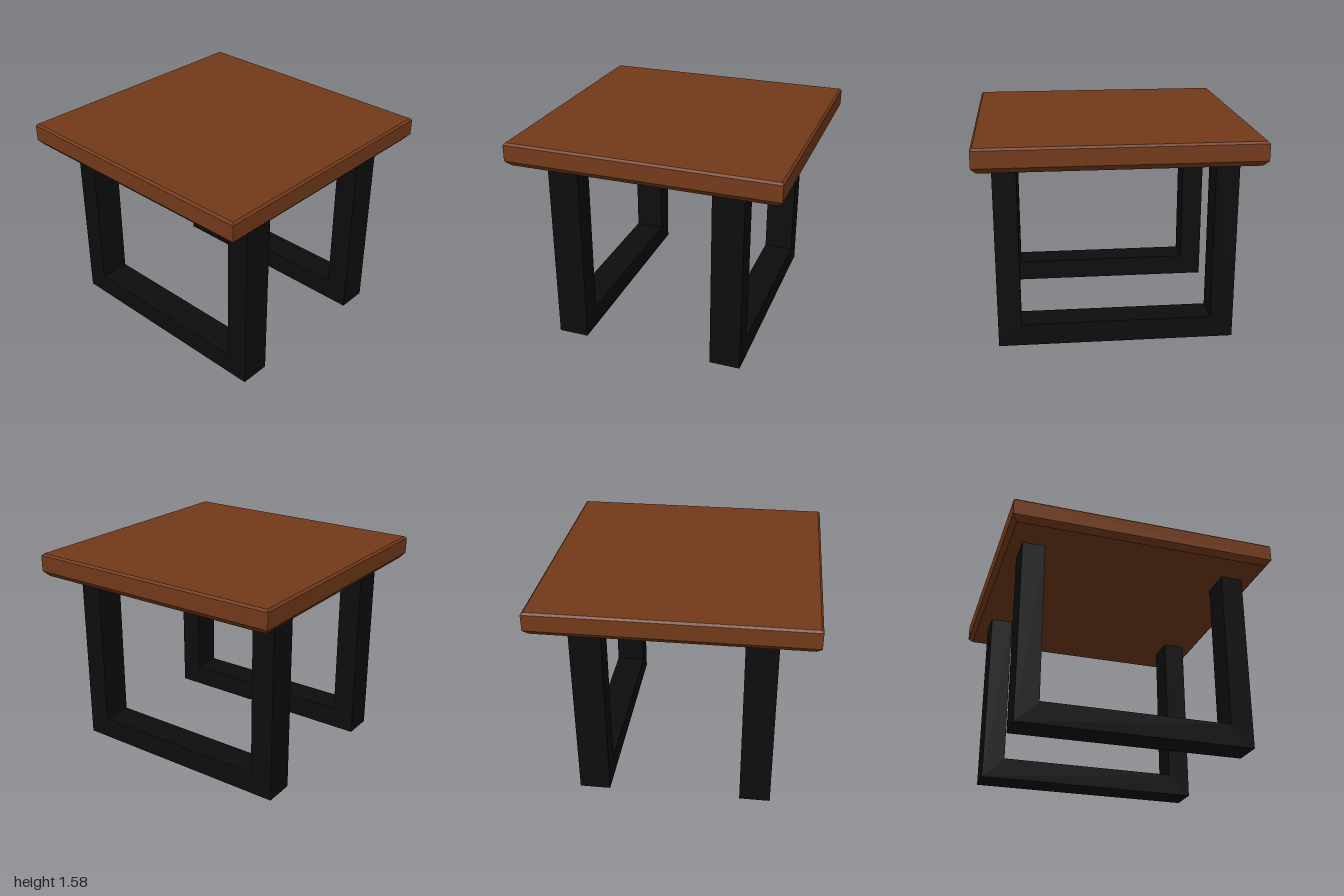
import * as THREE from 'three';

export function createModel() {
  const table = new THREE.Group();
  table.name = 'table';
  const wood = new THREE.MeshStandardMaterial({ color: 0x733a1a, flatShading: true });
  const metal = new THREE.MeshStandardMaterial({ color: 0x0d0d0d, flatShading: true });

  // Square top: four-sided lathe with a wide lower bevel and a fine upper one
  const profile = [[0, 1.4], [0.965, 1.4], [1, 1.44], [1, 1.56], [0.985, 1.575], [0, 1.575]]
    .map(([half, y]) => new THREE.Vector2(half * Math.SQRT2, y));
  const top = new THREE.Mesh(new THREE.LatheGeometry(profile, 4, Math.PI / 4), wood);
  top.name = 'tableTop';
  table.add(top);

  // U-shaped leg frames: outline in z and y, extruded along x
  const outline = [
    [-0.873, 0], [0.877, 0], [0.877, 1.4], [0.706, 1.4],
    [0.706, 0.166], [-0.702, 0.166], [-0.702, 1.4], [-0.873, 1.4],
  ].map(([z, y]) => new THREE.Vector2(z, y));
  const width = 0.23;
  const frame = new THREE.ExtrudeGeometry(new THREE.Shape(outline), { depth: width, bevelEnabled: false });
  frame.translate(0, 0, -width / 2).rotateY(-Math.PI / 2);
  for (const [name, x] of [['leftLegFrame', 0.608], ['rightLegFrame', -0.613]]) {
    const leg = new THREE.Mesh(frame, metal);
    leg.name = name;
    leg.position.x = x;
    table.add(leg);
  }
  return table;
}
